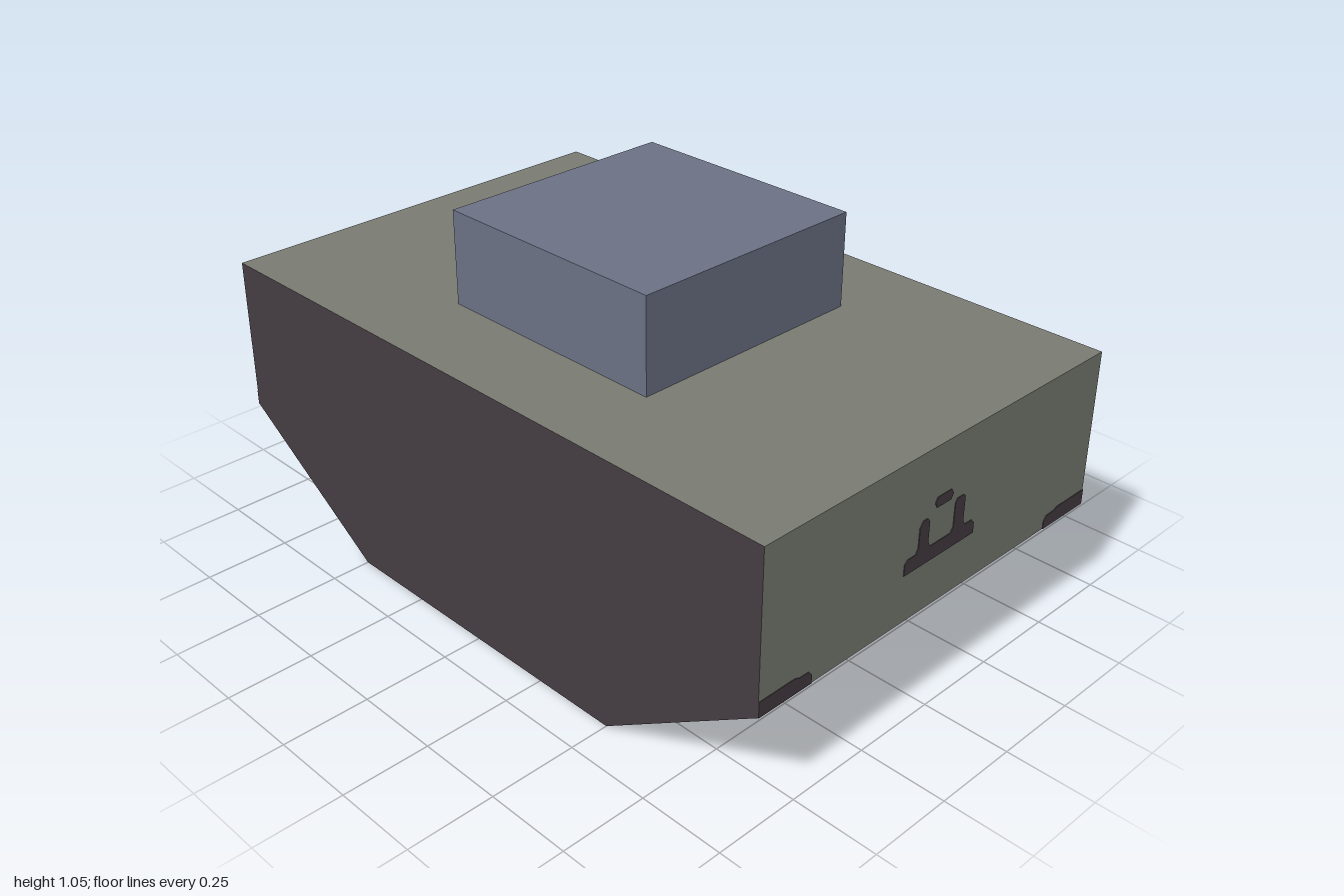
import * as THREE from 'three';

const olive = new THREE.MeshStandardMaterial({ name: 'olive grey', color: 0x7a7c74 });
const dark = new THREE.MeshStandardMaterial({ name: 'dark plum', color: 0x453c43 });
const slate = new THREE.MeshStandardMaterial({ name: 'slate blue', color: 0x6c7286 });

const HALF_WIDTH = 0.635, DECK = 0.775, CHINE = 0.32, END = 0.998;

const outline = (points) => new THREE.Shape(points.map(([x, y]) => new THREE.Vector2(x, y)));

// Hull: side profile extruded across x; deck and ends olive, sides and underside dark
function makeHull() {
  const profile = outline([[-0.5, 0], [0.5, 0], [END, CHINE], [END, DECK], [-END, DECK], [-END, CHINE]]);
  const geo = new THREE.ExtrudeGeometry(profile, { depth: HALF_WIDTH * 2, bevelEnabled: false });
  geo.translate(0, 0, -HALF_WIDTH).rotateY(-Math.PI / 2);
  geo.clearGroups();
  const n = geo.attributes.normal;
  for (let i = 0; i < n.count; i += 3) {
    const isOlive = Math.abs(n.getX(i)) < 0.5 && n.getY(i) > -0.1;
    geo.addGroup(i, 3, isOlive ? 0 : 1);
  }
  const hull = new THREE.Mesh(geo, [olive, dark]);
  hull.name = 'hull';
  return hull;
}

// Painted end details as thin plates
const corner = [[HALF_WIDTH, CHINE], [HALF_WIDTH, 0.364], [0.515, 0.364], [0.5, 0.358], [0.468, 0.357], [0.457, 0.345], [0.457, CHINE]];
const details = {
  bracketBase: [[-0.137, 0.458], [0.133, 0.458], [0.133, 0.488], [0.122, 0.5], [-0.126, 0.5], [-0.137, 0.49]],
  rightPost: [[-0.098, 0.498], [-0.04, 0.498], [-0.051, 0.515], [-0.051, 0.575], [-0.06, 0.586], [-0.076, 0.586], [-0.088, 0.57], [-0.088, 0.515]],
  leftPost: [[0.036, 0.498], [0.097, 0.498], [0.086, 0.515], [0.086, 0.585], [0.079, 0.592], [0.054, 0.592], [0.047, 0.58], [0.047, 0.515]],
  topCap: [[-0.027, 0.601], [0.027, 0.601], [0.035, 0.616], [0.027, 0.63], [-0.027, 0.63], [-0.035, 0.616]],
  leftCorner: corner,
  rightCorner: corner.map(([x, y]) => [-x, y]),
};

function makeEndDetails(sign) {
  const group = new THREE.Group();
  group.name = sign > 0 ? 'frontDetails' : 'backDetails';
  for (const [name, points] of Object.entries(details)) {
    const geo = new THREE.ExtrudeGeometry(outline(points), { depth: 0.004, bevelEnabled: false });
    geo.translate(0, 0, sign * 0.998 - 0.002);
    const plate = new THREE.Mesh(geo, dark);
    plate.name = name;
    group.add(plate);
  }
  return group;
}

export function createModel() {
  const model = new THREE.Group();
  model.name = 'model';
  model.add(makeHull(), makeEndDetails(1), makeEndDetails(-1));

  // Square block on the deck
  const height = 1.047 - DECK;
  const block = new THREE.Mesh(new THREE.BoxGeometry(0.726, height, 0.726), slate);
  block.position.y = DECK + height / 2;
  block.name = 'deckBlock';
  model.add(block);
  return model;
}
